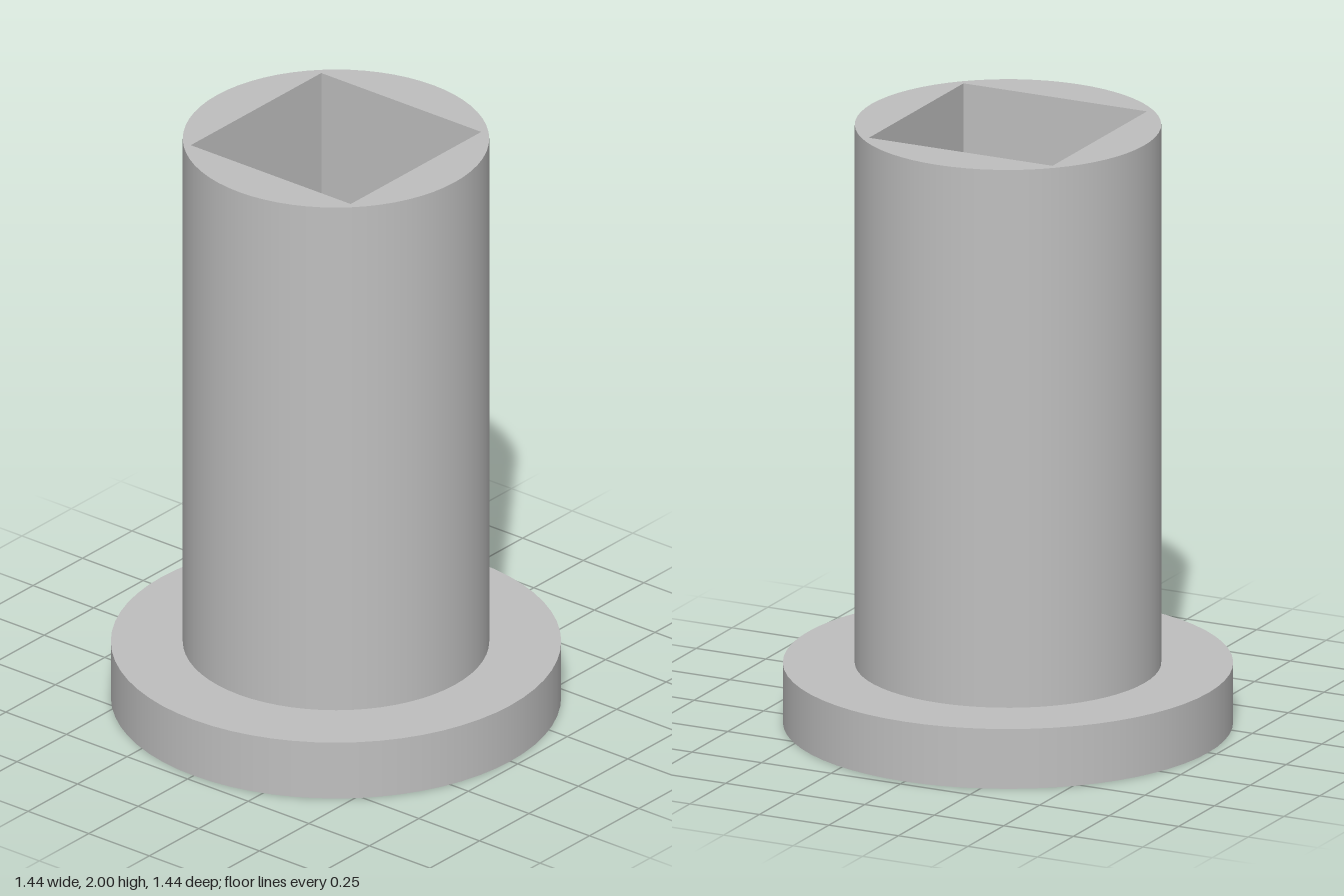
import * as THREE from 'three';

const SEGMENTS = 64;
const BODY_R = 0.49, FLANGE_R = 0.72, BORE = 0.33;
const HEIGHT = 2, FLANGE_H = 0.2;

const circle = (path, r) => path.absarc(0, 0, r, 0, Math.PI * 2, false);

const square = (h) => new THREE.Path([
  new THREE.Vector2(-h, -h), new THREE.Vector2(-h, h),
  new THREE.Vector2(h, h), new THREE.Vector2(h, -h), new THREE.Vector2(-h, -h),
]);

// Flat disc with a hole, facing up or down at height y
function face(radius, hole, y, up) {
  const shape = circle(new THREE.Shape(), radius);
  shape.holes.push(hole);
  return new THREE.ShapeGeometry(shape, SEGMENTS / 2)
    .rotateX(up ? -Math.PI / 2 : Math.PI / 2)
    .translate(0, y, 0);
}

// Smooth round wall between two heights
function wall(radius, y0, y1) {
  return new THREE.CylinderGeometry(radius, radius, y1 - y0, SEGMENTS, 1, true)
    .translate(0, (y0 + y1) / 2, 0);
}

export function createModel() {
  const model = new THREE.Group();
  model.name = 'flangedSleeve';
  const grey = new THREE.MeshStandardMaterial({ color: 0xbfbfbf });
  grey.name = 'plainGrey';

  const add = (parent, name, geometry) => {
    const mesh = new THREE.Mesh(geometry, grey);
    mesh.name = name;
    parent.add(mesh);
  };
  const part = (name) => {
    const group = new THREE.Group();
    group.name = name;
    model.add(group);
    return group;
  };

  // Base flange
  const flange = part('flange');
  add(flange, 'flangeRim', wall(FLANGE_R, 0, FLANGE_H));
  add(flange, 'flangeTop', face(FLANGE_R, circle(new THREE.Path(), BODY_R), FLANGE_H, true));
  add(flange, 'flangeUnderside', face(FLANGE_R, square(BORE), 0, false));

  // Upright sleeve
  const sleeve = part('sleeve');
  add(sleeve, 'sleeveWall', wall(BODY_R, FLANGE_H, HEIGHT));
  add(sleeve, 'sleeveTop', face(BODY_R, square(BORE), HEIGHT, true));

  // Square bore right through, four walls facing inward
  const bore = part('squareBore');
  for (let i = 0; i < 4; i++) {
    add(bore, `boreWall${i + 1}`, new THREE.PlaneGeometry(BORE * 2, HEIGHT)
      .translate(0, HEIGHT / 2, -BORE)
      .rotateY(i * Math.PI / 2));
  }
  return model;
}
